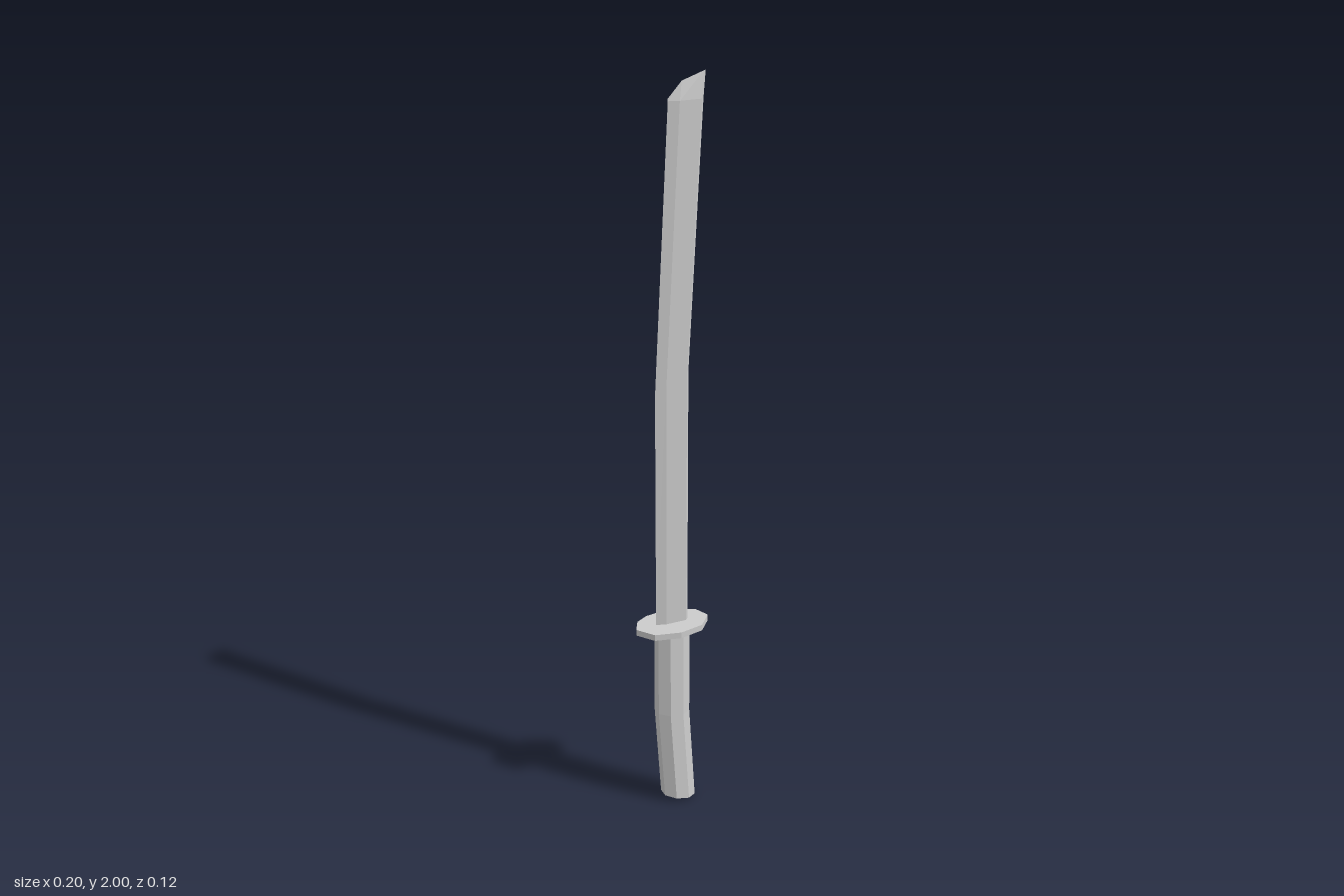
import * as THREE from 'three';

const material = new THREE.MeshStandardMaterial({ color: 0xcccccc, flatShading: true });

// Skin a stack of rings (counter-clockwise seen from above, bottom to top) and cap both ends.
function loft(name, rings) {
  const n = rings[0].length;
  const index = [];
  rings.slice(1).forEach((_, r) => {
    for (let i = 0; i < n; i++) {
      const a = r * n + i, b = r * n + (i + 1) % n;
      index.push(a, b, b + n, a, b + n, a + n);
    }
  });
  const top = (rings.length - 1) * n;
  for (let i = 1; i < n - 1; i++) {
    index.push(0, i + 1, i, top, top + i, top + i + 1);
  }
  const geometry = new THREE.BufferGeometry();
  geometry.setAttribute('position', new THREE.Float32BufferAttribute(rings.flat(2), 3));
  geometry.setIndex(index);
  const flat = geometry.toNonIndexed();
  flat.computeVertexNormals();
  const mesh = new THREE.Mesh(flat, material);
  mesh.name = name;
  return mesh;
}

// Place an [x, z] section at height y, shifted by dx and tilted by slope (dy per x).
const place = (section, y, dx = 0, slope = 0) =>
  section.map(([x, z]) => [x + dx, y + slope * x, z]);

export function createModel() {
  const model = new THREE.Group();
  model.name = 'sword';

  // Blade: sharp edge on -x, bevelled spine on +x, kinked, with a slanted tip
  const zc = -0.0015, t = 0.0075;
  const bladeSection = [
    [0.045, zc], [0.038, zc - t], [-0.018, zc - t],
    [-0.045, zc], [-0.018, zc + t], [0.038, zc + t],
  ];
  const tip = [
    [0.085, 2.0], [0.078, 1.997], [0.025, 1.98],
    [-0.01, 1.942], [0.025, 1.98], [0.078, 1.997],
  ].map(([x, y]) => [x, y, zc]);
  model.add(loft('blade', [
    place(bladeSection, 0.55),
    place(bladeSection, 1.24, 0, 0.6),
    place(bladeSection, 1.936, 0.035),
    tip,
  ]));

  // Guard: flat faceted oval plate
  const guardOutline = [
    [0.102, 0.004], [0.085, -0.035], [0.048, -0.055], [0, -0.062], [-0.05, -0.055], [-0.083, -0.037],
    [-0.102, 0], [-0.068, 0.045], [0, 0.06], [0.066, 0.046],
  ];
  model.add(loft('guard', [place(guardOutline, 0.545), place(guardOutline, 0.562)]));

  // Handle: eight-sided grip, bent back towards its slanted end
  const gripSection = [];
  for (let i = 0; i < 8; i++) {
    const a = (i + 0.5) * Math.PI / 4;
    gripSection.push([0.0485 * Math.cos(a), -0.0365 * Math.sin(a)]);
  }
  model.add(loft('handle', [
    place(gripSection, 0.014, 0.018, -0.22),
    place(gripSection, 0.29, 0, -0.1),
    place(gripSection, 0.55),
  ]));

  return model;
}
